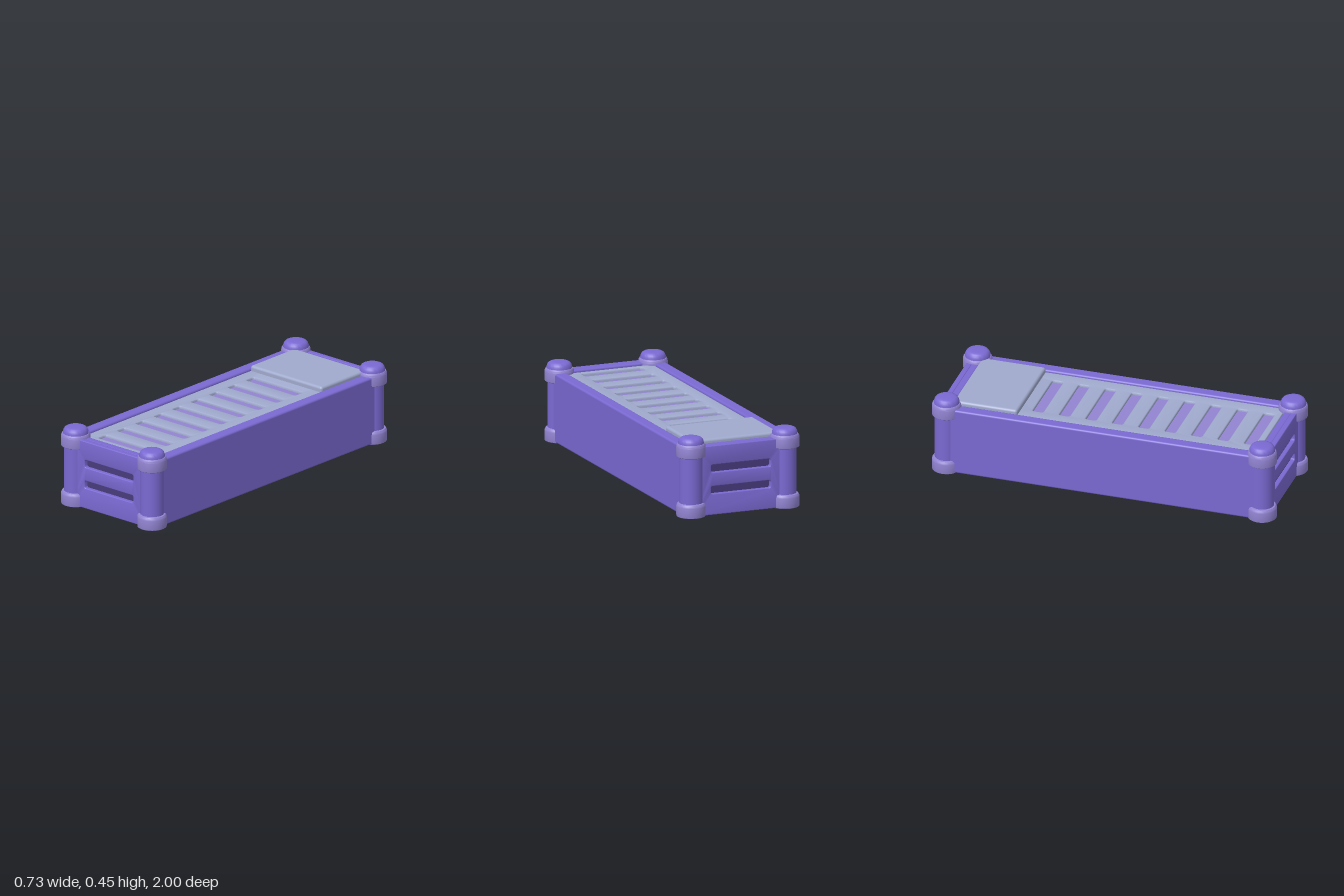
import * as THREE from 'three';
import { RoundedBoxGeometry } from 'three/addons/geometries/RoundedBoxGeometry.js';
import { toCreasedNormals } from 'three/addons/utils/BufferGeometryUtils.js';

const mat = (name, color) => {
  const m = new THREE.MeshStandardMaterial({ color });
  m.name = name;
  return m;
};

// Rounded rectangle outline centred on (cx, cy)
function roundRect(target, cx, cy, w, h, r) {
  const x = cx - w / 2, y = cy - h / 2;
  target.moveTo(x + r, y);
  target.lineTo(x + w - r, y);
  target.quadraticCurveTo(x + w, y, x + w, y + r);
  target.lineTo(x + w, y + h - r);
  target.quadraticCurveTo(x + w, y + h, x + w - r, y + h);
  target.lineTo(x + r, y + h);
  target.quadraticCurveTo(x, y + h, x, y + h - r);
  target.lineTo(x, y + r);
  target.quadraticCurveTo(x, y, x + r, y);
  return target;
}

export function createModel() {
  const purple = mat('purple', 0x7a69d2);
  const lilac = mat('lilac', 0x9284d2);
  const grey = mat('blueGrey', 0xa0aacd);
  const dark = mat('darkPurple', 0x483c7c);

  const model = new THREE.Group();
  model.name = 'bed';
  const add = (parent, name, geometry, material, x = 0, y = 0, z = 0) => {
    const mesh = new THREE.Mesh(geometry, material);
    mesh.name = name;
    mesh.position.set(x, y, z);
    parent.add(mesh);
    return mesh;
  };
  const box = (w, h, d, r) => new RoundedBoxGeometry(w, h, d, 3, r);
  const lathe = (pts) => toCreasedNormals(
    new THREE.LatheGeometry(pts.map(([r, y]) => new THREE.Vector2(r, y)), 40), 0.6);

  // Corner posts with collars and domed knobs
  const postGeo = new THREE.CylinderGeometry(0.066, 0.066, 0.3, 40);
  const footGeo = lathe([[0, 0.002], [0.077, 0.002], [0.081, 0.005], [0.082, 0.01],
    [0.082, 0.06], [0.08, 0.07], [0.075, 0.077], [0.066, 0.08], [0, 0.08]]);
  const collarGeo = lathe([[0, 0.343], [0.077, 0.343], [0.081, 0.346], [0.082, 0.351],
    [0.082, 0.4], [0.08, 0.41], [0.075, 0.417], [0.066, 0.42], [0, 0.42]]);
  const knobGeo = lathe([[0.072, 0.415], [0.071, 0.427], [0.067, 0.439], [0.06, 0.448],
    [0.05, 0.453], [0.035, 0.455], [0, 0.455]]);
  for (const sx of [-1, 1]) for (const sz of [-1, 1]) {
    const post = new THREE.Group();
    post.name = `${sz > 0 ? 'front' : 'back'}${sx > 0 ? 'Left' : 'Right'}Post`;
    post.position.set(sx * 0.283, 0, sz * 0.918);
    add(post, 'shaft', postGeo, purple, 0, 0.21, 0);
    add(post, 'footCollar', footGeo, lilac);
    add(post, 'topCollar', collarGeo, lilac);
    add(post, 'knob', knobGeo, purple);
    model.add(post);
  }

  // Long side panels
  for (const s of [-1, 1])
    add(model, s > 0 ? 'leftPanel' : 'rightPanel', box(0.07, 0.395, 1.82, 0.012), purple, s * 0.3, 0.2025, 0);

  // End panels: solid inner board, slotted outer board, dark slot floors
  const slotYs = [0.1465, 0.269];
  const board = roundRect(new THREE.Shape(), 0, 0.2025, 0.52, 0.375, 0.004);
  for (const y of slotYs) board.holes.push(roundRect(new THREE.Path(), 0, y, 0.366, 0.051, 0.014));
  const boardGeo = toCreasedNormals(new THREE.ExtrudeGeometry(board, {
    depth: 0.02, bevelThickness: 0.008, bevelSize: 0.01, bevelOffset: 0, bevelSegments: 3, curveSegments: 6,
  }), 0.6);
  // Bevels shrink the holes, so widen them to the finished slot size
  const openGeo = (() => {
    const shape = roundRect(new THREE.Shape(), 0, 0.2025, 0.54, 0.395, 0.01);
    for (const y of slotYs) shape.holes.push(roundRect(new THREE.Path(), 0, y, 0.36, 0.045, 0.012));
    return new THREE.ExtrudeGeometry(shape, {
      depth: 0.024, bevelThickness: 0.004, bevelSize: 0.004, bevelOffset: -0.004, bevelSegments: 3, curveSegments: 6,
    });
  })();
  boardGeo.dispose();
  for (const s of [-1, 1]) {
    const end = new THREE.Group();
    end.name = s > 0 ? 'footPanel' : 'headPanel';
    if (s < 0) end.rotation.y = Math.PI;
    add(end, 'innerBoard', box(0.54, 0.395, 0.045, 0.01), purple, 0, 0.2025, 0.9095);
    add(end, 'slottedBoard', toCreasedNormals(openGeo, 0.6), purple, 0, 0, 0.932);
    for (const y of slotYs)
      add(end, 'slotFloor', new THREE.BoxGeometry(0.366, 0.05, 0.004), dark, 0, y, 0.933);
    model.add(end);
  }

  // Slotted mattress plate, extruded upward, with lilac slats set in the slots
  const slatZs = Array.from({ length: 9 }, (_, i) => -0.42 + i * 0.1538);
  const plate = roundRect(new THREE.Shape(), 0, 0, 0.53, 1.76, 0.02);
  for (const z of slatZs) plate.holes.push(roundRect(new THREE.Path(), 0, -z, 0.366, 0.062, 0.014));
  const plateGeo = toCreasedNormals(new THREE.ExtrudeGeometry(plate, {
    depth: 0.024, bevelThickness: 0.008, bevelSize: 0.008, bevelOffset: -0.008, bevelSegments: 3, curveSegments: 6,
  }), 0.6);
  plateGeo.rotateX(-Math.PI / 2);
  add(model, 'mattress', plateGeo, grey, 0, 0.357, 0);
  for (const z of slatZs)
    add(model, 'slat', box(0.38, 0.035, 0.075, 0.008), lilac, 0, 0.357, z);

  // Raised pillow at the head end
  add(model, 'pillow', box(0.53, 0.06, 0.37, 0.015), grey, 0, 0.39, -0.7);

  return model;
}
